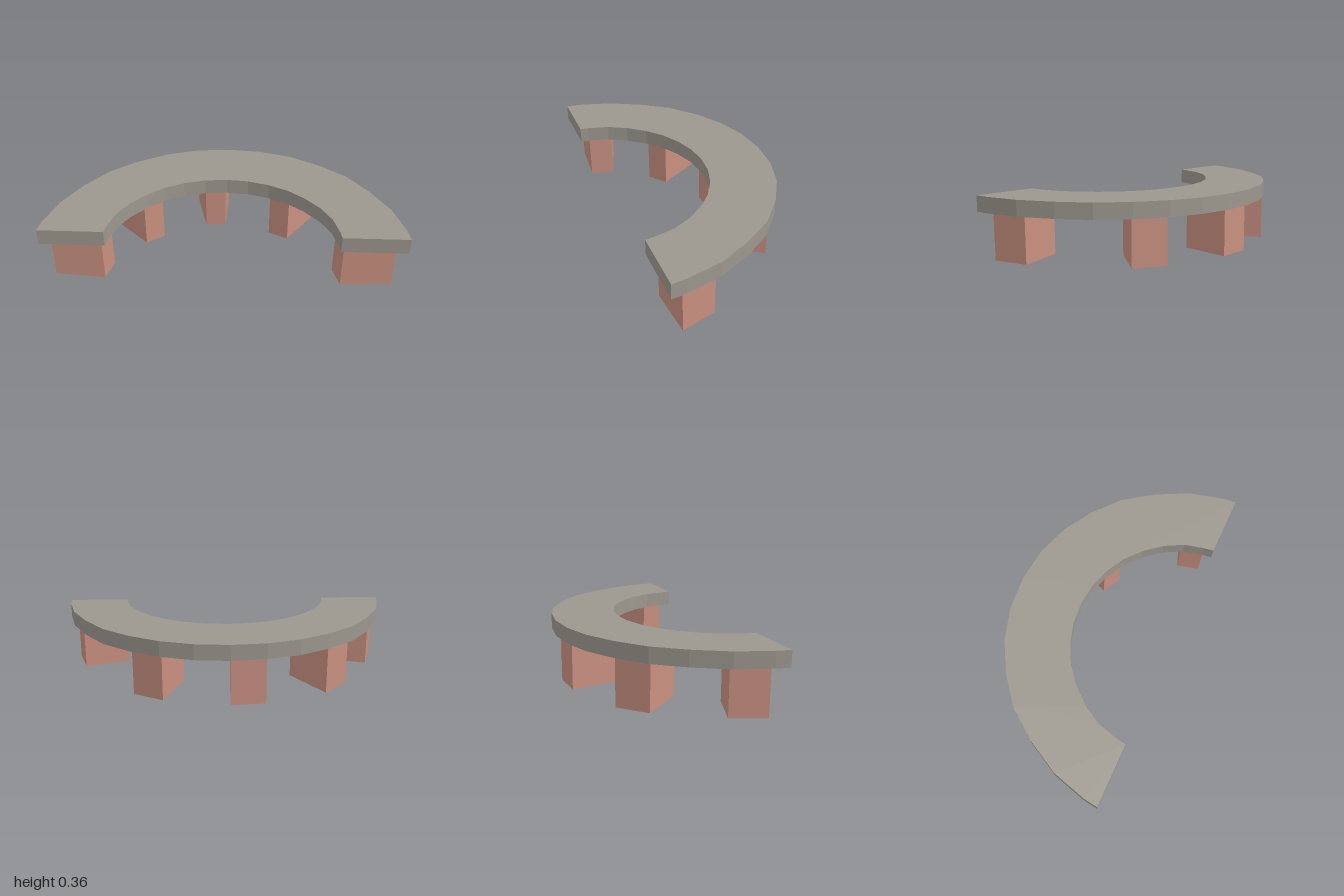
import * as THREE from 'three';

const stone = new THREE.MeshStandardMaterial({ color: 0x9c978e });
stone.name = 'grey stone';
const brick = new THREE.MeshStandardMaterial({ color: 0xc89080 });
brick.name = 'pink brick';

// upright prism over a plan outline of [x, z] corners
function prism(name, plan, bottom, top, material) {
  const shape = new THREE.Shape(plan.map(([x, z]) => new THREE.Vector2(x, -z)));
  const geometry = new THREE.ExtrudeGeometry(shape, { depth: top - bottom, bevelEnabled: false });
  geometry.rotateX(-Math.PI / 2);
  geometry.translate(0, bottom, 0);
  const mesh = new THREE.Mesh(geometry, material);
  mesh.name = name;
  return mesh;
}

// mirrors a half arc, running from the middle to the end, across x = 0
const fullArc = (half) => [
  ...half.slice(1).reverse().map(([x, z]) => [-x, z]),
  ...half,
];

export function createModel() {
  const group = new THREE.Group();
  group.name = 'curvedBench';

  // curved seat slab
  const outer = fullArc([
    [0, -0.475], [0.198, -0.456], [0.386, -0.397], [0.56, -0.297], [0.717, -0.167],
    [0.837, 0], [0.937, 0.19], [0.99, 0.39], [1, 0.472],
  ]);
  const inner = fullArc([
    [0, -0.097], [0.128, -0.085], [0.25, -0.047], [0.36, 0.01], [0.455, 0.09],
    [0.54, 0.19], [0.6, 0.3], [0.63, 0.42], [0.637, 0.472],
  ]);
  group.add(prism('seat', [...outer, ...inner.reverse()], 0.27, 0.36, stone));

  // wedge-shaped supports, wider on the outside of the curve
  const supports = {
    rightEndSupport: [[-0.67, 0.412], [-0.957, 0.388], [-0.89, 0.195], [-0.64, 0.275]],
    rightSupport: [[-0.48, 0.07], [-0.695, -0.148], [-0.555, -0.29], [-0.38, -0.01]],
    middleSupport: [[-0.13, -0.14], [-0.198, -0.43], [0, -0.445], [-0.01, -0.15]],
    leftSupport: [[0.375, -0.015], [0.263, -0.07], [0.375, -0.365], [0.545, -0.267]],
    leftEndSupport: [[0.66, 0.415], [0.625, 0.285], [0.885, 0.195], [0.948, 0.395]],
  };
  for (const [name, plan] of Object.entries(supports)) {
    group.add(prism(name, plan, 0, 0.27, brick));
  }
  return group;
}
